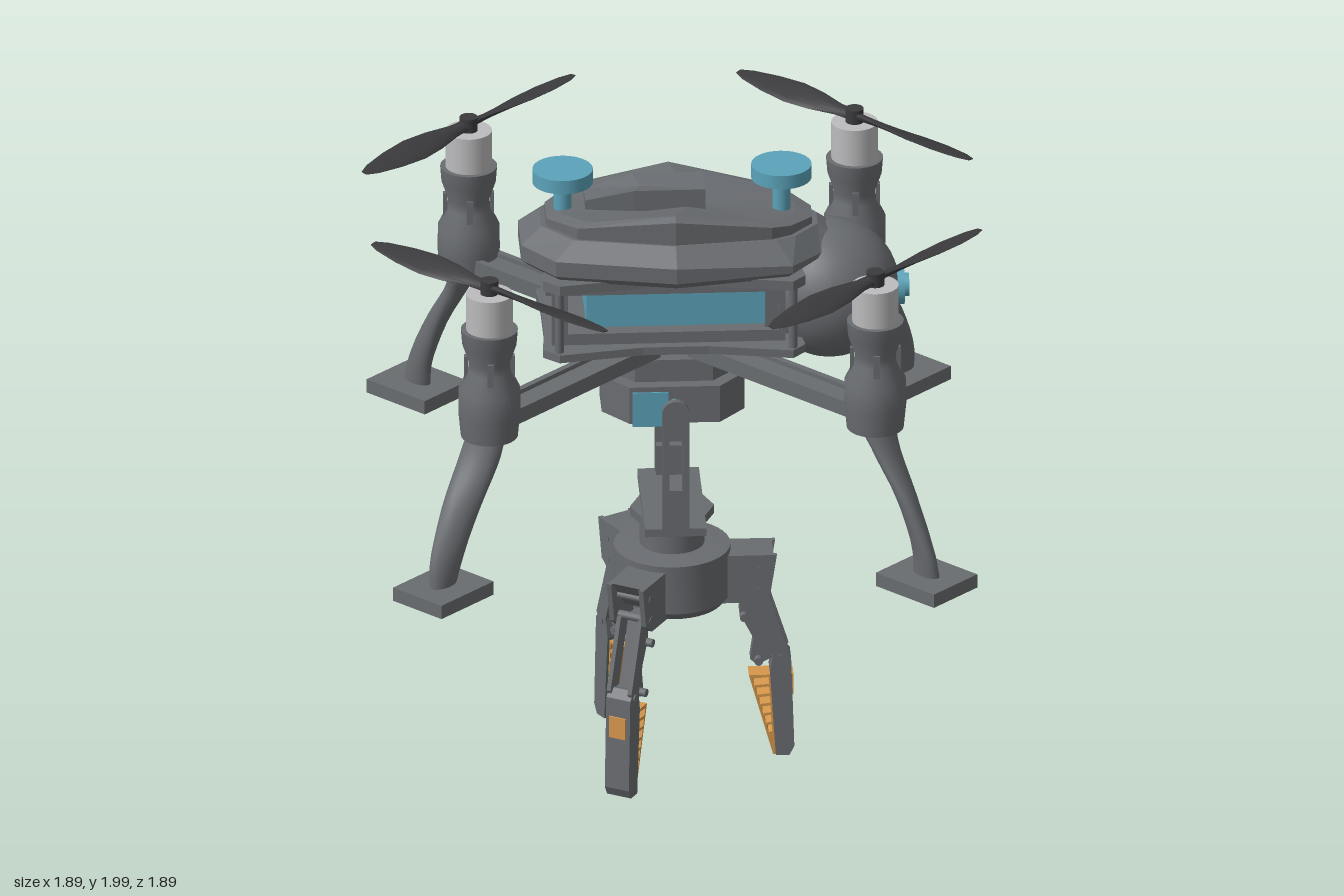
import * as THREE from 'three';
import { toCreasedNormals } from 'three/addons/utils/BufferGeometryUtils.js';

const mat = (name, color) => Object.assign(new THREE.MeshStandardMaterial({ color }), { name });
const grey = mat('bodyGrey', 0x696c70);
const teal = mat('teal', 0x5ba3ba);
const orange = mat('orange', 0xd6974c);
const silver = mat('silver', 0xbcbcbe);
const black = mat('propellerBlack', 0x3b3b3e);

function add(parent, name, geo, material, x = 0, y = 0, z = 0) {
  const m = new THREE.Mesh(geo, material);
  m.name = name;
  m.position.set(x, y, z);
  parent.add(m);
  return m;
}
const box = (w, h, d) => new THREE.BoxGeometry(w, h, d);
const cyl = (r, h, n = 32, r2 = r) => new THREE.CylinderGeometry(r, r2, h, n);
const lathe = (pts, n = 32) =>
  toCreasedNormals(new THREE.LatheGeometry(pts.map(p => new THREE.Vector2(...p)), n), 0.6);

// Flat plate in the xy plane, centred on z
function plate(pts, depth, holes = []) {
  const shape = new THREE.Shape(pts.map(p => new THREE.Vector2(...p)));
  for (const h of holes) shape.holes.push(new THREE.Path(h.map(p => new THREE.Vector2(...p))));
  return new THREE.ExtrudeGeometry(shape, { depth, bevelEnabled: false }).translate(0, 0, -depth / 2);
}
// Horizontal slab from an outline of [x, z], between two heights
const slab = (pts, y0, y1) =>
  plate(pts, y1 - y0).rotateX(Math.PI / 2).translate(0, (y0 + y1) / 2, 0);

// Skin over rings stacked upward, each ring running from +x to +z
function loft(rings, crease = 0.4) {
  const n = rings[0].length, pos = rings.flat(2), idx = [];
  for (const r of [rings[0], rings.at(-1)])
    for (let k = 0; k < 3; k++) pos.push(r.reduce((s, p) => s + p[k], 0) / n);
  const c0 = rings.length * n, top = (rings.length - 1) * n;
  for (let i = 0; i < n; i++) {
    const j = (i + 1) % n;
    for (let r = 0; r < rings.length - 1; r++) {
      const a = r * n + i, b = r * n + j;
      idx.push(a, a + n, b, b, a + n, b + n);
    }
    idx.push(c0, i, j, c0 + 1, top + j, top + i);
  }
  const g = new THREE.BufferGeometry();
  g.setAttribute('position', new THREE.Float32BufferAttribute(pos, 3));
  g.setIndex(idx);
  return toCreasedNormals(g, crease);
}
// Mirrors a half outline (listed from +x to -x, z > 0) into a full one
const mirrorZ = half => [...half, ...half.map(([x, z]) => [x, -z]).reverse()];
const ellipse = (cx, y, a, b, turn, n = 14) => Array.from({ length: n }, (_, i) => {
  const t = i / n * Math.PI * 2, u = a * Math.cos(t), v = b * Math.sin(t);
  return [cx + u * Math.cos(turn) - v * Math.sin(turn), y, u * Math.sin(turn) + v * Math.cos(turn)];
});

// Arm, motor, propeller, leg and foot; local +x points outward
function makeCorner() {
  const g = new THREE.Group(), R = 0.841;
  add(g, 'arm', box(0.67, 0.03, 0.1), grey, 0.45, 1.428);
  for (const s of [-1, 1]) add(g, 'armRail', box(0.67, 0.05, 0.02), grey, 0.45, 1.432, s * 0.045);
  add(g, 'motorPod', lathe([[0, 1.38], [0.088, 1.38], [0.096, 1.46], [0.095, 1.54], [0.066, 1.6],
    [0.064, 1.63], [0.084, 1.69], [0.088, 1.74], [0, 1.74]]), grey, R);
  for (let i = 0; i < 4; i++) {
    const slot = add(g, 'podRib', box(0.012, 0.08, 0.02), grey, R, 1.61);
    slot.rotation.y = Math.PI / 4 + i * Math.PI / 2;
    slot.translateX(0.072);
  }
  add(g, 'motor', cyl(0.072, 0.12), silver, R, 1.8);
  add(g, 'propellerHub', cyl(0.028, 0.05, 20), black, R, 1.88);
  const stations = [[0.015, 0.02, 0.012, 0.5], [0.07, 0.022, 0.01, 0.5], [0.16, 0.04, 0.007, 0.38],
    [0.25, 0.05, 0.005, 0.3], [0.35, 0.044, 0.004, 0.22], [0.44, 0.028, 0.003, 0.16], [0.48, 0.012, 0.002, 0.12]];
  for (const s of [0, 1]) {
    const blade = loft(stations.map(([y, w, t, a]) => ellipse(0, y, w, t, a)), 0.8);
    blade.rotateX(Math.PI / 2).rotateZ(Math.PI);
    add(g, 'propellerBlade', blade.rotateY(s * Math.PI), black, R, 1.88);
  }
  // Twisted leg
  const path = new THREE.CatmullRomCurve3([[1.055, 0.93], [1.04, 1.02], [0.97, 1.18], [0.885, 1.32], [0.85, 1.4]]
    .map(([x, y]) => new THREE.Vector3(x, y, 0)));
  const rings = [];
  for (let i = 0; i <= 14; i++) {
    const t = i / 14, p = path.getPoint(t);
    rings.push(ellipse(p.x, p.y, 0.05 + 0.02 * t, 0.026 + 0.014 * t, t * Math.PI / 2));
  }
  add(g, 'leg', loft(rings, 0.9), grey);
  add(g, 'foot', box(0.24, 0.045, 0.2), grey, 1.053, 0.922);
  add(g, 'footPad', cyl(0.07, 0.006), teal, 1.053, 0.898);
  return g;
}

// Gripper finger; local +x points outward
function makeFinger() {
  const g = new THREE.Group();
  const cheek = [[0.14, 0.54], [0.26, 0.54], [0.3, 0.57], [0.32, 0.7], [0.14, 0.7]];
  const bar = [[0.24, 0.58], [0.29, 0.58], [0.36, 0.36], [0.345, 0.33], [0.315, 0.33]];
  for (const s of [-1, 1]) {
    add(g, 'fingerBracket', plate(cheek, 0.016), grey, 0, 0, s * 0.055);
    add(g, 'outerLink', plate(bar, 0.014), grey, 0, 0, s * 0.036);
  }
  add(g, 'bracketWeb', plate([[0.14, 0.6], [0.23, 0.6], [0.31, 0.7], [0.14, 0.7]], 0.1), grey);
  add(g, 'innerLink', plate([[0.2, 0.58], [0.25, 0.58], [0.32, 0.34], [0.26, 0.31], [0.24, 0.33], [0.25, 0.4],
    [0.21, 0.48]], 0.045), grey);
  for (const [x, y] of [[0.27, 0.65], [0.265, 0.58], [0.22, 0.48], [0.335, 0.34], [0.265, 0.33]])
    add(g, 'pivotPin', cyl(0.013, 0.13, 12).rotateX(Math.PI / 2), grey, x, y).scale.z = y > 0.5 ? 1 : 0.72;
  add(g, 'fingertip', plate([[0.3, 0.29], [0.31, 0.36], [0.34, 0.365], [0.365, 0.34], [0.375, 0.04], [0.36, 0.01],
    [0.318, 0.01]], 0.083), grey);
  // Soft lattice pad
  const inner = y => 0.235 + (0.28 - y) / 0.27 * 0.075, outer = y => 0.302 + (0.28 - y) / 0.27 * 0.016;
  const holes = [];
  for (let i = 0; i < 6; i++) {
    const y0 = 0.085 + i * 0.032, y1 = y0 + 0.023;
    holes.push([[inner(y0) + 0.007, y0], [outer(y0) - 0.006, y0 + 0.004], [outer(y1) - 0.006, y1 + 0.004], [inner(y1) + 0.007, y1]]);
  }
  add(g, 'fingerPad', plate([[0.235, 0.28], [0.31, 0.01], [0.318, 0.01], [0.302, 0.28]], 0.066, holes), orange);
  add(g, 'fingerWindow', box(0.008, 0.07, 0.056), orange, 0.369, 0.245);
  return g;
}

export function createModel() {
  const model = new THREE.Group();
  model.name = 'gripperDrone';

  for (const sx of [-1, 1]) for (const sz of [-1, 1]) {
    const c = makeCorner();
    c.name = 'rotorArm';
    c.rotation.y = -Math.atan2(sz, sx);
    model.add(c);
  }

  // Frame: two plates, posts and open side panels
  const deck = mirrorZ([[0.38, 0.1], [0.4, 0.22], [0.36, 0.265], [0.1, 0.22], [-0.1, 0.22], [-0.36, 0.265], [-0.41, 0.22], [-0.4, 0.1]]);
  add(model, 'lowerDeck', slab(deck, 1.462, 1.488), grey);
  add(model, 'upperDeck', slab(deck, 1.69, 1.722), grey);
  for (const sx of [-1, 1]) for (const sz of [-1, 1])
    add(model, 'post', cyl(0.014, 0.22, 12), grey, sx * 0.36, 1.59, sz * 0.238);
  for (const s of [-1, 1])
    add(model, 'sidePanel', plate([[-0.38, 1.485], [0.34, 1.485], [0.34, 1.7], [-0.38, 1.7]], 0.02,
      [[[-0.33, 1.525], [-0.33, 1.655], [0.32, 1.655], [0.32, 1.525]]]), grey, 0, 0, s * 0.18);
  add(model, 'battery', box(0.55, 0.14, 0.24), teal, 0.005, 1.585);
  add(model, 'batteryStop', box(0.06, 0.2, 0.28), grey, 0.31, 1.585);

  // Canopy: lower shell, faceted upper shell and top wedge
  const ring = (half, yAt, s = 1) => mirrorZ(half).map(([x, z]) => [x * s, yAt(x), z * s]);
  const brim = [[0.55, 0.04], [0.45, 0.13], [0.36, 0.235], [0, 0.295], [-0.37, 0.22], [-0.47, 0.09]];
  const crown = [[0.43, 0.04], [0.36, 0.13], [0.3, 0.165], [0, 0.225], [-0.3, 0.165], [-0.39, 0.06]];
  add(model, 'canopyBrim', loft([
    ring(brim, x => 1.715 + Math.max(0, x - 0.35) * 0.1, 0.95),
    ring(brim, x => 1.735 + Math.max(0, x - 0.35) * 0.05),
    ring(brim, x => 1.785 - Math.max(0, x) * 0.07),
    ring(crown, x => 1.835 - Math.max(0, x) * 0.05, 1.04)], 0.1), grey);
  const roof = x => 1.922 - Math.abs(x) * (x > 0 ? 0.17 : 0.13);
  add(model, 'canopyCrown', loft([
    ring(crown, x => 1.81 - Math.max(0, x) * 0.05),
    ring(crown, x => roof(x) - 0.012),
    ring(crown, x => roof(x), 0.88)], 0.1), grey);
  add(model, 'roofWedge', loft([
    ring([[0.1, 0.065], [-0.12, 0.065], [-0.27, 0.045]], () => 1.88),
    ring([[0.1, 0.065], [-0.12, 0.065], [-0.27, 0.045]], x => x < -0.2 ? 1.91 : 1.948)], 0.1), grey);
  for (const s of [-1, 1]) {
    add(model, 'antennaStem', cyl(0.028, 0.12, 20), teal, s * 0.337, 1.9);
    add(model, 'antennaDisc', cyl(0.093, 0.045, 40), teal, s * 0.337, 1.9775);
  }

  // Camera ball with stepped lens
  add(model, 'cameraBall', new THREE.SphereGeometry(0.217, 32, 20), grey, 0.485, 1.58);
  add(model, 'lensRing', cyl(0.06, 0.04, 28).rotateZ(Math.PI / 2), teal, 0.695, 1.58);
  add(model, 'lens', cyl(0.036, 0.04, 28).rotateZ(Math.PI / 2), teal, 0.71, 1.58);

  // Wrist mount under the frame
  for (const s of [-1, 1]) add(model, 'mountFoot', box(0.11, 0.085, 0.16), grey, s * 0.11, 1.425);
  add(model, 'mountBlock', slab(mirrorZ([[0.17, 0.06], [0.12, 0.115], [-0.12, 0.115], [-0.17, 0.06]]), 1.32, 1.395), grey);
  add(model, 'servoHousing', slab(mirrorZ([[0.22, 0.06], [0.14, 0.155], [-0.14, 0.155], [-0.22, 0.06]]), 1.2, 1.322), grey);
  add(model, 'servo', box(0.11, 0.115, 0.32), teal, -0.075, 1.248);
  add(model, 'servoShaft', cyl(0.022, 0.05, 16).rotateX(Math.PI / 2), teal, 0, 1.26, 0.178);

  // Yoke
  const strip = [[-0.042, 0.85], [0.042, 0.85]];
  for (let i = 0; i <= 10; i++) strip.push([0.042 * Math.cos(i * Math.PI / 10), 1.26 + 0.042 * Math.sin(i * Math.PI / 10)]);
  const slot = [[-0.02, 1.0], [-0.02, 1.17], [0.02, 1.17], [0.02, 1.0]];
  for (const s of [-1, 1]) {
    add(model, 'yokeArm', plate(strip, 0.022, [slot]), grey, 0, 0, s * 0.212);
    add(model, 'yokeBracket', box(0.08, 0.11, 0.03), grey, 0, 0.915, s * 0.186);
  }
  add(model, 'yokeBase', box(0.19, 0.026, 0.446), grey, 0, 0.858);
  add(model, 'yokeFlange', cyl(0.13, 0.028, 8), grey, 0, 0.833);

  // Gripper hub
  add(model, 'wristMotor', cyl(0.1, 0.12, 40), grey, 0, 0.77);
  add(model, 'gripperHub', lathe([[0, 0.62], [0.08, 0.62], [0.08, 0.535], [0.16, 0.535], [0.18, 0.56],
    [0.18, 0.72], [0.1, 0.728], [0, 0.728]], 40), grey);
  add(model, 'hubPlug', box(0.06, 0.03, 0.04), teal, -0.06, 0.738, -0.11);
  for (let i = 0; i < 3; i++) {
    const f = makeFinger();
    f.name = 'finger';
    f.rotation.y = i * Math.PI * 2 / 3;
    model.add(f);
  }
  return model;
}
